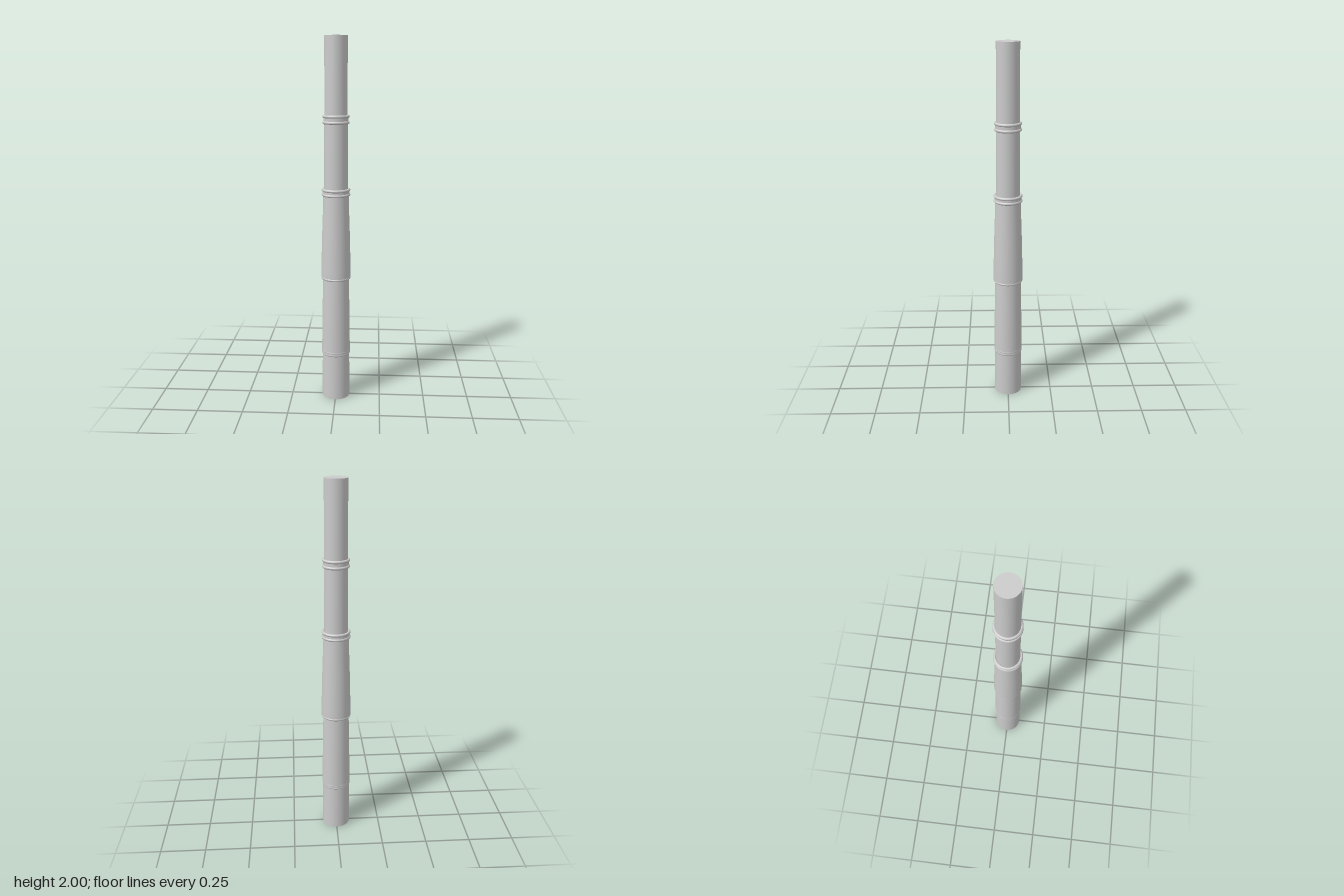
import * as THREE from 'three';

const SIDES = 40;

export function createModel() {
  const group = new THREE.Group();
  const material = new THREE.MeshStandardMaterial({ color: 0xcccccc });

  const add = (name, geometry, y = 0) => {
    const mesh = new THREE.Mesh(geometry, material);
    mesh.name = name;
    mesh.position.y = y;
    group.add(mesh);
    return mesh;
  };

  // Hollow-looking stalk sections, each a [radius, height] profile from bottom to top
  const sections = [
    [[0.077, 0], [0.077, 0.14], [0.075, 0.265]],
    [[0.079, 0.265], [0.078, 0.36], [0.075, 0.55], [0.071, 0.71]],
    [[0.081, 0.71], [0.081, 0.76], [0.076, 0.95], [0.07, 1.12], [0.069, 1.18]],
    [[0.064, 1.18], [0.063, 1.4], [0.063, 1.57]],
    [[0.062, 1.57], [0.061, 1.8], [0.061, 2]],
  ];
  sections.forEach((profile, i) => {
    const points = profile.map(([r, y]) => new THREE.Vector2(r, y));
    add(`stalkSection${i + 1}`, new THREE.LatheGeometry(points, SIDES));
  });

  // Flat cut ends
  add('bottomCap', new THREE.CircleGeometry(0.077, SIDES).rotateX(Math.PI / 2));
  add('topCap', new THREE.CircleGeometry(0.061, SIDES).rotateX(-Math.PI / 2), 2);

  // Node ridges: a pair of rounded beads with a shallow groove between them
  const nodes = [
    { y: 0.27, r: 0.08, half: 0.007, core: 0.077 },
    { y: 0.715, r: 0.081, half: 0.011, core: 0.077 },
    { y: 1.183, r: 0.078, half: 0.013, core: 0.073 },
    { y: 1.572, r: 0.073, half: 0.016, core: 0.067 },
  ];
  nodes.forEach(({ y, r, half, core }, i) => {
    const node = new THREE.Group();
    node.name = `node${i + 1}`;
    const tube = 0.008;
    for (const s of [-1, 1]) {
      const bead = new THREE.Mesh(
        new THREE.TorusGeometry(r - tube, tube, 10, SIDES).rotateX(Math.PI / 2), material);
      bead.name = s < 0 ? 'lowerBead' : 'upperBead';
      bead.position.y = y + s * half;
      node.add(bead);
    }
    const groove = new THREE.Mesh(
      new THREE.CylinderGeometry(core, core, half * 2, SIDES), material);
    groove.name = 'groove';
    groove.position.y = y;
    node.add(groove);
    group.add(node);
  });

  return group;
}
